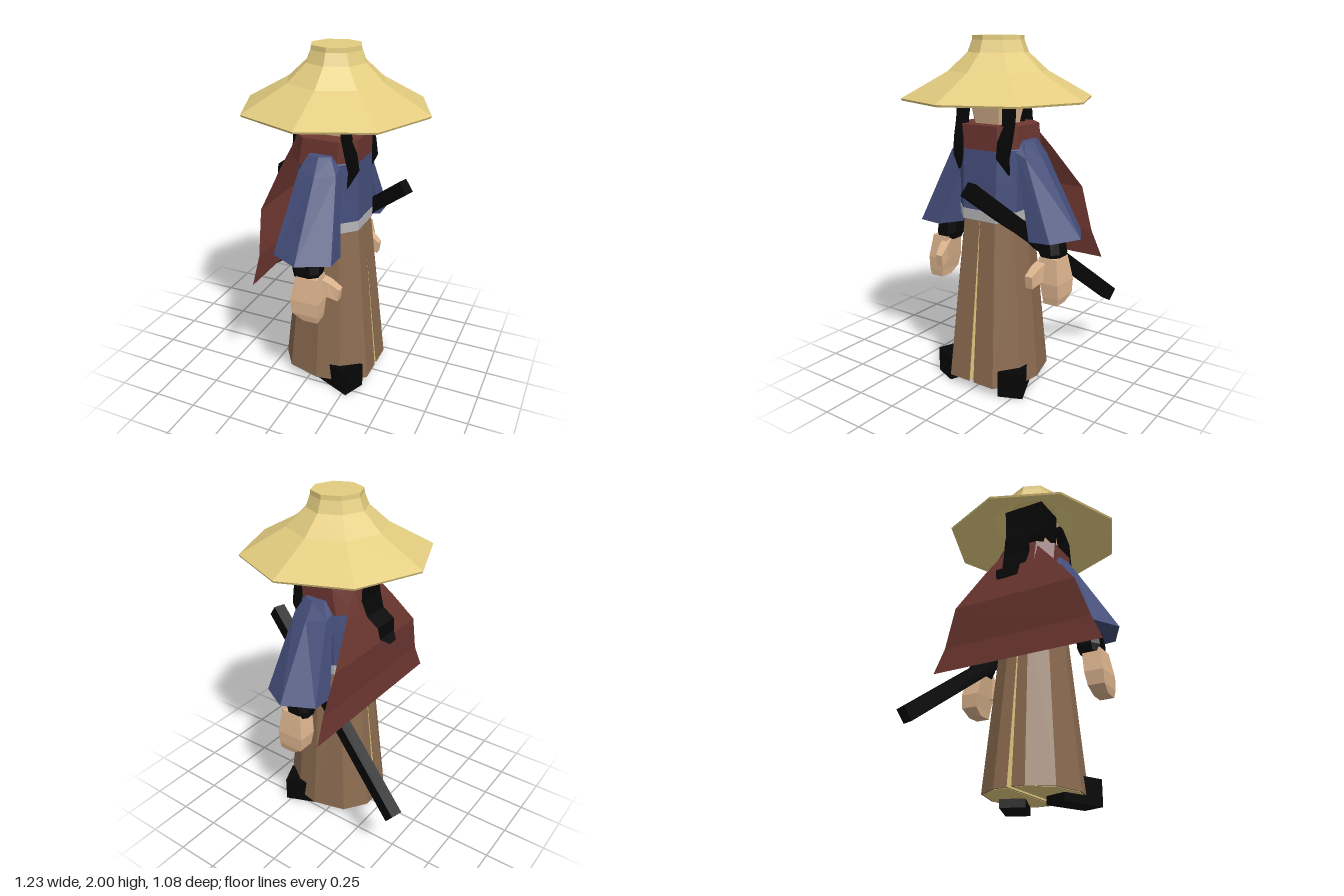
import * as THREE from 'three';

const mat = (color) => new THREE.MeshStandardMaterial({ color, flatShading: true, side: THREE.DoubleSide });
const STRAW = mat(0xe3cc80), SKIN = mat(0xdcb48e), BLUE = mat(0x454f7c), BROWN = mat(0x8b6b50),
  RED = mat(0x6e3731), BLACK = mat(0x060606), SASH = mat(0xb9b9bb);

// Skin a list of equal-sized rings; closed solids are turned to face outward
function loft(rings) {
  const n = rings[0].length, pos = [];
  const tri = (a, b, c) => pos.push(...a, ...b, ...c);
  for (let i = 0; i + 1 < rings.length; i++) {
    for (let j = 0; j < n; j++) {
      const k = (j + 1) % n, a = rings[i], b = rings[i + 1];
      tri(a[j], b[j], b[k]);
      tri(a[j], b[k], a[k]);
    }
  }
  const top = rings[rings.length - 1], low = rings[0];
  for (let j = 1; j + 1 < n; j++) {
    tri(low[0], low[j], low[j + 1]);
    tri(top[0], top[j + 1], top[j]);
  }
  // signed volume about the first corner decides the winding
  const o = new THREE.Vector3(...low[0]);
  const v = (i) => new THREE.Vector3().fromArray(pos, i).sub(o);
  let vol = 0;
  for (let i = 0; i < pos.length; i += 9) vol += v(i).dot(v(i + 3).cross(v(i + 6)));
  if (vol < 0) {
    for (let i = 0; i < pos.length; i += 9) {
      for (let c = 0; c < 3; c++) [pos[i + 3 + c], pos[i + 6 + c]] = [pos[i + 6 + c], pos[i + 3 + c]];
    }
  }
  const g = new THREE.BufferGeometry();
  g.setAttribute('position', new THREE.Float32BufferAttribute(pos, 3));
  g.computeVertexNormals();
  return g;
}

// Horizontal eight-sided ring with chamfered corners
function oct(cx, y, cz, hx, hz, k = 0.5) {
  return [[1, k], [k, 1], [-k, 1], [-1, k], [-1, -k], [-k, -1], [k, -1], [1, -k]]
    .map(([a, b]) => [cx + a * hx, y, cz + b * hz]);
}

// Six-sided ring pointing outward along z, tilted by a slope
function hex(cx, y, cz, hx, hz, slope) {
  return [[0, 1], [1, 0.4], [1, -0.45], [0, -1], [-1, -0.45], [-1, 0.4]]
    .map(([a, b]) => [cx + a * hx, y + b * hz * slope, cz + b * hz]);
}

// Horizontal four-sided ring
const quad = (x0, x1, y, z0, z1) => [[x0, y, z0], [x1, y, z0], [x1, y, z1], [x0, y, z1]];

// Ribbon symmetric about z = 0 from rows of [x, y, halfWidth]
function ribbon(rows) {
  const pos = [];
  rows.slice(1).forEach(([x1, y1, w1], i) => {
    const [x0, y0, w0] = rows[i];
    pos.push(x0, y0, -w0, x0, y0, w0, x1, y1, w1, x0, y0, -w0, x1, y1, w1, x1, y1, -w1);
  });
  const g = new THREE.BufferGeometry();
  g.setAttribute('position', new THREE.Float32BufferAttribute(pos, 3));
  g.computeVertexNormals();
  return g;
}

export function createModel() {
  const model = new THREE.Group();
  model.name = 'strawHatSwordsman';
  const add = (name, geometry, material, parent = model) => {
    const m = new THREE.Mesh(geometry, material);
    m.name = name;
    parent.add(m);
    return m;
  };

  // Straw hat: hollow eight-sided shell
  const profile = [[0, 1.9], [0.15, 1.885], [0.27, 1.795], [0.53, 1.657], [0.535, 1.668],
    [0.28, 1.81], [0.17, 1.91], [0.145, 1.975], [0.143, 2], [0, 2]].map(([r, y]) => new THREE.Vector2(r, y));
  add('hat', new THREE.LatheGeometry(profile, 8), STRAW).position.x = 0.072;

  // Head and hair
  add('head', loft([oct(0.085, 1.46, 0, 0.08, 0.09, 0.75), oct(0.085, 1.54, 0, 0.095, 0.105, 0.75),
    oct(0.08, 1.64, 0, 0.12, 0.118, 0.75), oct(0.08, 1.82, 0, 0.125, 0.118, 0.75)]), SKIN);
  add('hairCap', loft([quad(-0.065, 0.13, 1.62, -0.125, 0.125), quad(-0.07, 0.14, 1.84, -0.13, 0.13)]), BLACK);
  add('napeHair', loft([quad(-0.04, -0.025, 1.53, -0.1, 0.1), quad(-0.065, 0.0, 1.64, -0.125, 0.125)]), BLACK);
  add('ponytail', ribbon([[-0.06, 1.74, 0.04], [-0.12, 1.66, 0.06], [-0.15, 1.58, 0.08], [-0.15, 1.45, 0.09],
    [-0.18, 1.36, 0.08], [-0.25, 1.31, 0.08], [-0.26, 1.24, 0.07], [-0.3, 1.21, 0.03]]), BLACK);

  // Scarf and cape
  add('scarf', loft([oct(0.05, 1.38, 0, 0.195, 0.2, 0.57), oct(0.068, 1.53, 0, 0.18, 0.2, 0.57)]), RED);
  add('cape', ribbon([[-0.11, 1.5, 0.12], [-0.145, 1.38, 0.22], [-0.195, 1.16, 0.395],
    [-0.172, 0.92, 0.475], [-0.182, 0.77, 0.54]]), RED);

  // Torso and sash
  add('torso', loft([oct(0.07, 1.05, 0, 0.19, 0.195, 0.57), oct(0.07, 1.22, 0, 0.185, 0.195, 0.57),
    oct(0.075, 1.4, 0, 0.17, 0.2, 0.57), oct(0.07, 1.45, 0, 0.12, 0.17)]), BLUE);
  add('sash', loft([oct(0.07, 1.0, 0, 0.19, 0.195, 0.57), oct(0.07, 1.06, 0, 0.192, 0.197, 0.57)]), SASH);

  for (const s of [1, -1]) {
    const side = new THREE.Group();
    side.name = s > 0 ? 'rightSide' : 'leftSide';
    model.add(side);
    const part = (name, rings, material) =>
      add(name, loft(rings.map((r) => r.map(([x, y, z]) => [x, y, z * s]))), material, side);

    // Wide trouser leg, flat along the inner slit
    const leg = (y, cx, hx, z0, z1) => [[1, 0], [1, 0.53], [0.52, 0.9], [0, 1], [-0.68, 0.8], [-1, 0.3], [-1, 0]]
      .map(([a, b]) => [cx + a * hx, y, z0 + b * (z1 - z0)]);
    part('trouserLeg', [leg(0.05, 0.072, 0.282, 0.015, 0.275), leg(1.0, 0.072, 0.185, 0.002, 0.192)], BROWN);
    part('hemUnderside', [leg(0.048, 0.072, 0.27, 0.02, 0.264), leg(0.052, 0.072, 0.27, 0.02, 0.264)], STRAW);
    // straw-coloured lining on the slit
    part('slitLining', [quad(-0.205, 0.35, 0.052, 0.012, 0.016), quad(-0.11, 0.254, 0.99, 0.001, 0.004)], STRAW);

    // Shoe with toes turned outward
    const shoe = add('shoe', new THREE.BoxGeometry(0.275, 0.15, 0.145), BLACK, side);
    shoe.position.set(0.178, 0.075, 0.185 * s);
    shoe.rotation.y = -0.4 * s;

    // Flared sleeve hanging from the shoulder
    part('sleeve', [hex(0.07, 0.93, 0.385, 0.17, 0.155, 0.05), hex(0.073, 1.375, 0.225, 0.108, 0.07, -0.4),
      hex(0.072, 1.45, 0.205, 0.065, 0.03, -0.2)], BLUE);

    // Wristband, hand and thumb
    part('wristband', [oct(0.07, 0.8, 0.37, 0.07, 0.06), oct(0.07, 0.84, 0.365, 0.08, 0.07),
      oct(0.07, 0.96, 0.35, 0.07, 0.065)], BLACK);
    part('hand', [quad(0.075, 0.16, 0.56, 0.365, 0.45), quad(0.01, 0.165, 0.6, 0.36, 0.458),
      quad(0.0, 0.17, 0.68, 0.345, 0.458), quad(0.025, 0.15, 0.82, 0.325, 0.435)], SKIN);
    part('thumb', [
      [[0.12, 0.67, 0.32], [0.12, 0.81, 0.32], [0.12, 0.81, 0.38], [0.12, 0.67, 0.38]],
      [[0.185, 0.685, 0.3], [0.185, 0.775, 0.3], [0.185, 0.775, 0.36], [0.185, 0.685, 0.36]],
      [[0.235, 0.66, 0.295], [0.245, 0.73, 0.295], [0.245, 0.73, 0.34], [0.235, 0.66, 0.34]]], SKIN);

    // Lock of hair beside the face
    part('sideLock', [[1.27, 0.215, 0.17, 0.004], [1.36, 0.24, 0.146, 0.03], [1.45, 0.222, 0.148, 0.034],
      [1.55, 0.198, 0.157, 0.029], [1.66, 0.188, 0.15, 0.032], [1.76, 0.15, 0.13, 0.03]]
      .map(([y, x, z, w]) => quad(x - w * 0.7, x + w * 0.7, y, z - w, z + w)), BLACK);
  }

  // Sheathed sword thrust through the sash
  const hilt = new THREE.Vector3(0.465, 1.225, -0.085), tip = new THREE.Vector3(-0.588, 0.383, -0.397);
  const sword = add('sword', new THREE.BoxGeometry(0.068, 0.083, hilt.distanceTo(tip)), BLACK);
  sword.position.copy(hilt).add(tip).multiplyScalar(0.5);
  sword.lookAt(hilt);

  return model;
}
